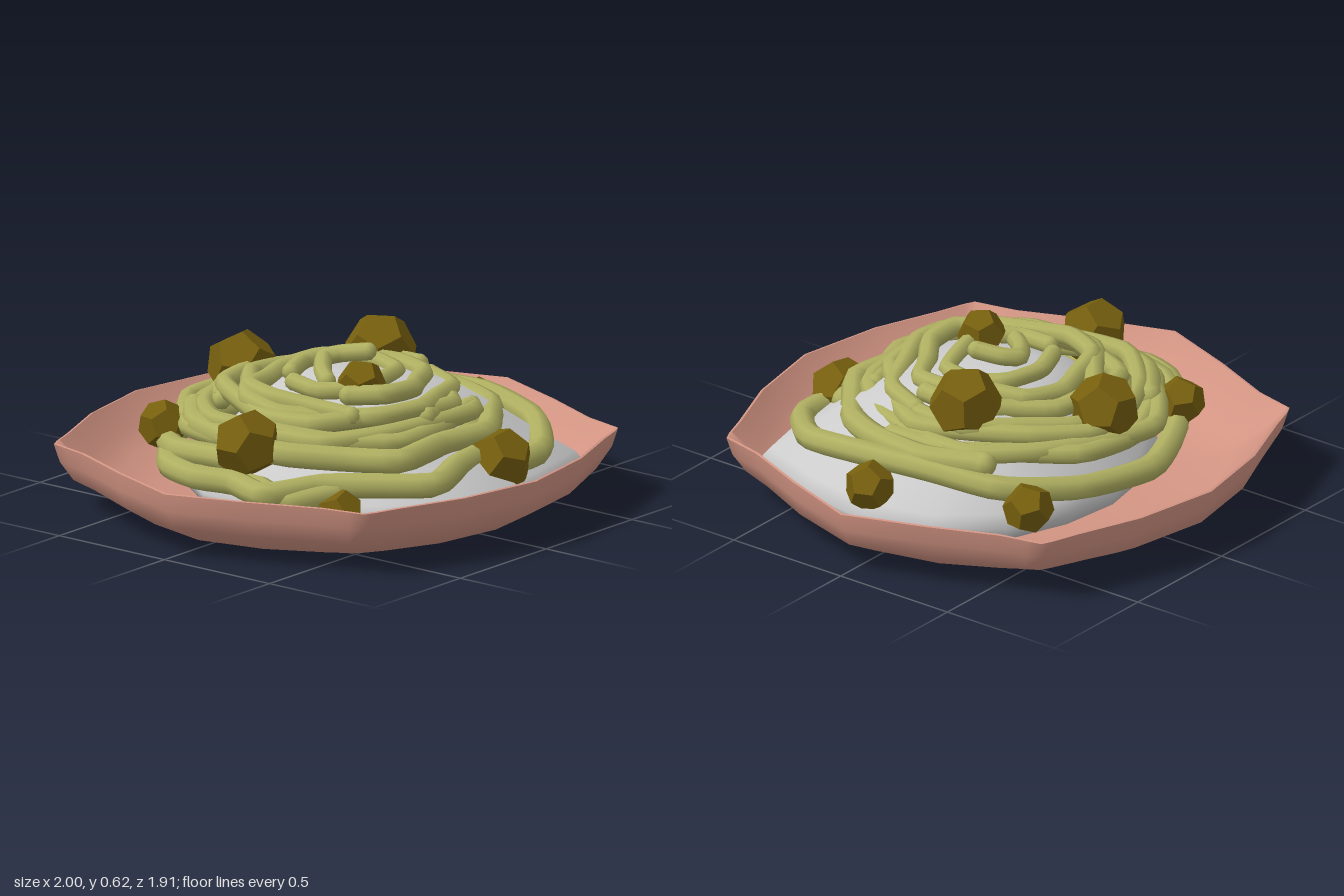
import * as THREE from 'three';
import { toCreasedNormals } from 'three/addons/utils/BufferGeometryUtils.js';

const material = (color, extra = {}) =>
  new THREE.MeshStandardMaterial({ color, ...extra });

// Skin a stack of closed rings, listed from the bottom outwards
function loft(rings) {
  const n = rings[0].length, index = [];
  for (let i = 0; i < rings.length - 1; i++) {
    for (let j = 0; j < n; j++) {
      const a = i * n + j, b = i * n + (j + 1) % n;
      index.push(a, a + n, b, b, a + n, b + n);
    }
  }
  const geometry = new THREE.BufferGeometry();
  geometry.setAttribute('position', new THREE.Float32BufferAttribute(rings.flat(2), 3));
  geometry.setIndex(index);
  geometry.computeVertexNormals();
  return geometry;
}

// Plate outline: one quarter, mirrored; the four corners flare outwards
function plateOutline() {
  const q = [[1, 0], [0.89, 0.31], [0.78, 0.57], [0.755, 0.68], [0.742, 0.737], [0.7, 0.757], [0.6, 0.79], [0.34, 0.89], [0, 0.953]];
  const half = [...q.slice(0, -1), ...q.slice(1).reverse().map(([x, z]) => [-x, z])];
  return [...half, ...half.map(([x, z]) => [-x, -z])];
}

function createPlate() {
  const outline = plateOutline();
  // scale, height, amount of rounding towards an ellipse
  const profile = [
    [0.001, 0, 1], [0.42, 0, 1], [0.8, 0.03, 0.7], [0.95, 0.11, 0.3], [0.985, 0.18, 0.1], [1, 0.25, 0],
    [0.99, 0.252, 0], [0.92, 0.17, 0.2], [0.83, 0.1, 0.5], [0.65, 0.055, 0.8], [0.4, 0.03, 1], [0.001, 0.03, 1],
  ];
  const rings = profile.map(([s, y, round]) => outline.map(([x, z]) => {
    const a = Math.atan2(z / 0.95, x);
    return [
      s * THREE.MathUtils.lerp(x, Math.cos(a), round), y,
      s * THREE.MathUtils.lerp(z, 0.95 * Math.sin(a), round),
    ];
  }));
  const mesh = new THREE.Mesh(toCreasedNormals(loft(rings), 1.0), material(0xd29483));
  mesh.name = 'plate';
  return mesh;
}

// Uneven mound under the noodles
function createMound() {
  const profile = [[0.8, 0.04], [0.97, 0.08], [1, 0.13], [0.95, 0.18], [0.82, 0.25], [0.65, 0.35], [0.48, 0.44], [0.25, 0.49], [0.001, 0.5]];
  const radii = [0.75, 0.76, 0.84, 0.72, 0.71, 0.72, 0.7, 0.66, 0.64, 0.66, 0.65, 0.62, 0.62, 0.64, 0.7, 0.74];
  const rings = profile.map(([s, y]) => radii.map((r, i) => {
    const a = i / radii.length * Math.PI * 2;
    return [0.03 + s * r * Math.cos(a), y, 0.09 * s + s * r * Math.sin(a)];
  }));
  const mesh = new THREE.Mesh(loft(rings), material(0xcccccc));
  mesh.name = 'mound';
  return mesh;
}

// One noodle along a slightly kinked curve, with rounded ends
function createNoodle(points, radius, mat) {
  const noodle = new THREE.Group();
  noodle.name = 'noodle';
  const curve = new THREE.CatmullRomCurve3(points, false, 'catmullrom', 0.3);
  const tube = new THREE.Mesh(new THREE.TubeGeometry(curve, points.length * 4, radius, 8), mat);
  tube.name = 'strand';
  noodle.add(tube);
  for (const end of [points[0], points[points.length - 1]]) {
    const cap = new THREE.Mesh(new THREE.SphereGeometry(radius, 8, 6), mat);
    cap.name = 'strandEnd';
    cap.position.copy(end);
    noodle.add(cap);
  }
  return noodle;
}

// Points of a wavering spiral: centre, radius and height from start to end
function spiralPoints([cx, cz, r0, r1, y0, y1, start, turns], seed) {
  const count = Math.round(turns * 13), points = [];
  for (let i = 0; i <= count; i++) {
    const t = i / count, a = start + t * turns * Math.PI * 2;
    const r = THREE.MathUtils.lerp(r0, r1, t) + 0.028 * Math.sin(i * 2.1 + seed * 1.7);
    const y = THREE.MathUtils.lerp(y0, y1, t) + 0.012 * Math.sin(i * 1.3 + seed);
    points.push(new THREE.Vector3(cx + r * Math.cos(a), y, cz + r * Math.sin(a)));
  }
  return points;
}

function createNoodles() {
  const group = new THREE.Group();
  group.name = 'noodles';
  const mat = material(0xb0b062);
  const addPath = (path, radius) =>
    group.add(createNoodle(path.map((p) => new THREE.Vector3(...p)), radius, mat));

  // Loose outer strands
  const outer = [
    [[0.15, 0.22, 0.67], [0.38, 0.23, 0.66], [0.58, 0.27, 0.47], [0.63, 0.31, 0.2], [0.59, 0.31, -0.1], [0.51, 0.28, -0.36], [0.25, 0.24, -0.54], [-0.08, 0.22, -0.61], [-0.38, 0.24, -0.49], [-0.59, 0.28, -0.27], [-0.62, 0.3, 0]],
    [[-0.45, 0.23, -0.42], [-0.66, 0.24, -0.25], [-0.72, 0.24, -0.08], [-0.69, 0.24, 0.08], [-0.75, 0.24, 0.27], [-0.55, 0.25, 0.38], [-0.42, 0.25, 0.53], [-0.27, 0.25, 0.69], [-0.05, 0.26, 0.62], [0.25, 0.27, 0.57]],
    [[0.5, 0.35, -0.28], [0.57, 0.34, -0.05], [0.53, 0.33, 0.2], [0.46, 0.33, 0.36], [0.32, 0.33, 0.47], [0.17, 0.33, 0.57], [-0.06, 0.33, 0.54], [-0.32, 0.33, 0.57], [-0.43, 0.33, 0.4], [-0.55, 0.34, 0.2], [-0.56, 0.35, 0], [-0.49, 0.36, -0.26], [-0.32, 0.36, -0.41]],
    [[-0.35, 0.23, -0.5], [-0.55, 0.23, -0.32], [-0.65, 0.22, -0.1], [-0.63, 0.22, 0.14], [-0.7, 0.21, 0.33], [-0.47, 0.23, 0.45]],
  ];
  outer.forEach((path) => addPath(path, 0.048));

  // Coils: cx, cz, start radius, end radius, start y, end y, start angle, turns
  const coils = [
    [-0.01, -0.01, 0.57, 0.51, 0.31, 0.36, 0.3, 1.0],
    [-0.02, -0.01, 0.55, 0.49, 0.34, 0.39, 3.0, 1.0],
    [-0.02, 0, 0.51, 0.44, 0.37, 0.41, 1.0, 1.1],
    [-0.02, 0.02, 0.45, 0.39, 0.4, 0.44, 4.0, 1.1],
    [-0.01, 0.04, 0.4, 0.35, 0.43, 0.46, 0.2, 1.0],
    [-0.02, 0.06, 0.35, 0.27, 0.46, 0.49, 2.4, 1.0],
  ];
  coils.forEach((coil, i) => group.add(createNoodle(spiralPoints(coil, i), 0.038, mat)));

  // Small curls on the top
  const curls = [
    [[-0.21, 0.5, -0.03], [-0.22, 0.49, 0.1], [-0.12, 0.5, 0.22], [0.02, 0.5, 0.2], [0.17, 0.49, 0.15], [0.21, 0.5, 0.0], [0.15, 0.51, -0.11], [0, 0.51, -0.15], [-0.14, 0.51, -0.1]],
    [[-0.15, 0.51, 0.08], [-0.1, 0.52, 0.02], [-0.04, 0.53, -0.03], [0.01, 0.54, -0.06], [0.06, 0.55, -0.02], [0.1, 0.565, 0.07]],
  ];
  curls.forEach((path) => addPath(path, 0.034));
  return group;
}

// Faceted meatballs: x, y, z, radius
function createMeatballs() {
  const group = new THREE.Group();
  group.name = 'meatballs';
  const mat = material(0x765f0e, { flatShading: true });
  const balls = [
    [-0.61, 0.37, 0.075, 0.125], [0.355, 0.49, -0.08, 0.135], [-0.11, 0.515, 0.21, 0.09],
    [0, 0.445, -0.45, 0.127], [-0.445, 0.31, -0.46, 0.09], [0.51, 0.24, -0.495, 0.093],
    [0.71, 0.235, 0.09, 0.093], [0.15, 0.245, 0.66, 0.12], [-0.55, 0.16, 0.46, 0.093],
  ];
  balls.forEach(([x, y, z, r], i) => {
    const ball = new THREE.Mesh(new THREE.DodecahedronGeometry(r * 1.04), mat);
    ball.name = 'meatball';
    ball.position.set(x, y, z);
    ball.rotation.set(i * 0.7, i * 1.1, 0);
    group.add(ball);
  });
  return group;
}

export function createModel() {
  const model = new THREE.Group();
  model.name = 'noodleDish';
  model.add(createPlate(), createMound(), createNoodles(), createMeatballs());
  return model;
}
